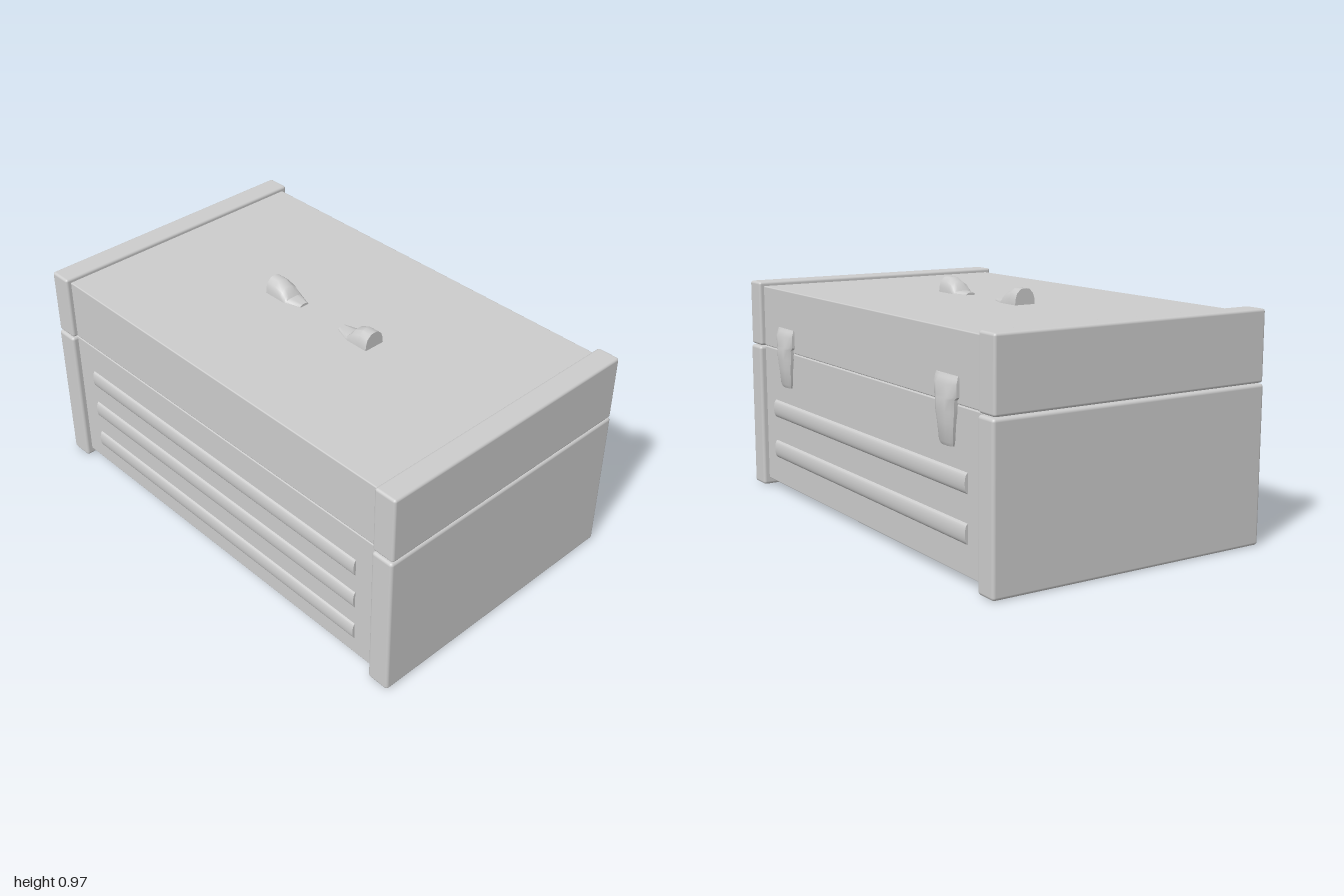
import * as THREE from 'three';
import { toCreasedNormals } from 'three/addons/utils/BufferGeometryUtils.js';
import { RoundedBoxGeometry } from 'three/addons/geometries/RoundedBoxGeometry.js';

const material = new THREE.MeshStandardMaterial({ color: 0xcccccc });

function addMesh(parent, name, geometry, x = 0, y = 0, z = 0) {
  const mesh = new THREE.Mesh(geometry, material);
  mesh.name = name;
  mesh.position.set(x, y, z);
  parent.add(mesh);
  return mesh;
}

// Raised form along x: sections are [x, halfWidth, height], the profile is [z, y] from -1 to 1
function raisedGeometry(sections, profile) {
  const n = profile.length;
  const positions = [];
  const index = [];
  for (const [x, halfWidth, height] of sections) {
    for (const [z, y] of profile) positions.push(x, y * height, z * halfWidth);
  }
  for (let j = 0; j < sections.length - 1; j++) {
    for (let i = 0; i < n - 1; i++) {
      const a = j * n + i, b = a + n;
      index.push(a, a + 1, b + 1, a, b + 1, b);
    }
  }
  const last = (sections.length - 1) * n;
  for (let i = 1; i < n - 1; i++) {
    index.push(0, i + 1, i, last, last + i, last + i + 1);
  }
  const geometry = new THREE.BufferGeometry();
  geometry.setAttribute('position', new THREE.Float32BufferAttribute(positions, 3));
  geometry.setIndex(index);
  return toCreasedNormals(geometry, 0.7);
}

const dome = [[-1, 0], [-0.97, 0.35], [-0.8, 0.72], [-0.4, 0.97], [0, 1], [0.4, 0.97], [0.8, 0.72], [0.97, 0.35], [1, 0]];
const flatDome = [[-1, 0], [-1, 0.45], [-0.8, 0.75], [-0.45, 1], [0.45, 1], [0.8, 0.75], [1, 0.45], [1, 0]];
const bead = Array.from({ length: 11 }, (_, i) => {
  const a = Math.PI * (1 - i / 10);
  return [Math.cos(a), Math.sin(a)];
});

export function createModel() {
  const group = new THREE.Group();
  group.name = 'toolbox';

  // Box body and lid
  addMesh(group, 'body', new RoundedBoxGeometry(1.84, 0.607, 1.175, 2, 0.004), 0, 0.3335, 0);
  addMesh(group, 'lid', new RoundedBoxGeometry(1.84, 0.265, 1.175, 2, 0.005), 0, 0.7725, 0);

  // End caps, slightly larger than the box
  for (const side of [-1, 1]) {
    addMesh(group, 'bodyEndCap', new RoundedBoxGeometry(0.1, 0.636, 1.228, 3, 0.013), side * 0.95, 0.318, 0);
    addMesh(group, 'lidEndCap', new RoundedBoxGeometry(0.1, 0.283, 1.218, 3, 0.011), side * 0.95, 0.7815, 0);
  }

  // Long stiffening ribs: three in front, two behind
  const ribGeometry = raisedGeometry([[-0.8, 0.039, 0.014], [0.8, 0.039, 0.014]], bead);
  for (const y of [0.47, 0.308, 0.146]) {
    addMesh(group, 'frontRib', ribGeometry, 0, y, 0.585).rotation.x = Math.PI / 2;
  }
  for (const y of [0.37, 0.186]) {
    addMesh(group, 'backRib', ribGeometry, 0, y, -0.587).rotation.x = -Math.PI / 2;
  }

  // Handle mounts on the lid, tapering towards each other
  const mountGeometry = raisedGeometry([
    [0.11, 0.022, 0.012], [0.175, 0.045, 0.014], [0.187, 0.047, 0.03], [0.205, 0.047, 0.05],
    [0.245, 0.047, 0.066], [0.29, 0.047, 0.067],
  ], dome);
  for (const side of [0, 1]) {
    addMesh(group, 'handleMount', mountGeometry, 0, 0.903, 0).rotation.y = side * Math.PI;
  }

  // Latches across the seam at the back
  const latchGeometry = raisedGeometry([
    [-0.155, 0.04, 0.016], [-0.14, 0.046, 0.024], [-0.07, 0.054, 0.03], [-0.03, 0.062, 0.034],
    [0.015, 0.064, 0.034], [0.025, 0.076, 0.03], [0.07, 0.076, 0.032], [0.09, 0.076, 0.02], [0.1, 0.074, 0.014],
  ], flatDome);
  for (const side of [-1, 1]) {
    const latch = addMesh(group, 'latch', latchGeometry, side * 0.67, 0.64, -0.586);
    latch.rotation.set(-Math.PI / 2, 0, Math.PI / 2, 'ZYX');
  }

  return group;
}
